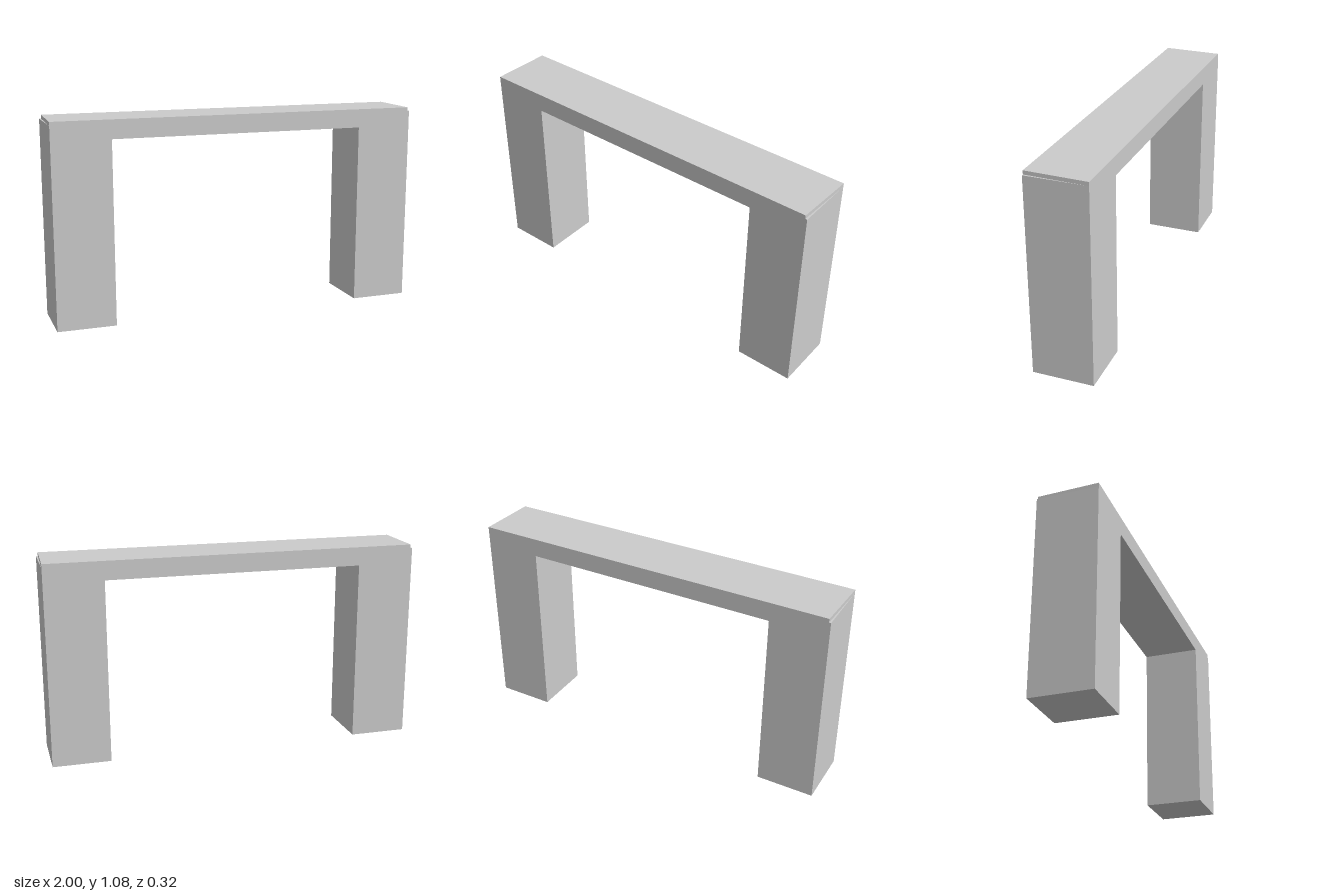
import * as THREE from 'three';

const DEPTH = 0.324, TOP = 1.08, SEAM = 1.06, UNDER = 0.98, INNER = 0.69;

function outline(points) {
  return new THREE.Shape(points.map(([x, y]) => new THREE.Vector2(x, y)));
}

export function createModel() {
  const group = new THREE.Group();
  group.name = 'portalFrame';
  const material = new THREE.MeshStandardMaterial({ color: 0xcccccc, flatShading: true });

  // Two legs and the beam between them, as one arch
  const archShape = outline([
    [-1, 0], [-INNER, 0], [-INNER, UNDER], [INNER, UNDER],
    [INNER, 0], [1, 0], [1, SEAM], [-1, SEAM],
  ]);
  const archGeometry = new THREE.ExtrudeGeometry(archShape, { depth: DEPTH, bevelEnabled: false });
  archGeometry.translate(0, 0, -DEPTH / 2);
  const arch = new THREE.Mesh(archGeometry, material);
  arch.name = 'legsAndBeam';
  group.add(arch);

  // Thin top layer with slightly skewed ends
  const h = DEPTH / 2;
  const capShape = outline([[-1, -h], [0.99, -h], [1, h], [-0.99, h]]);
  const capGeometry = new THREE.ExtrudeGeometry(capShape, { depth: TOP - SEAM, bevelEnabled: false });
  capGeometry.rotateX(-Math.PI / 2);
  const cap = new THREE.Mesh(capGeometry, material);
  cap.name = 'topLayer';
  cap.position.y = SEAM;
  group.add(cap);

  return group;
}
